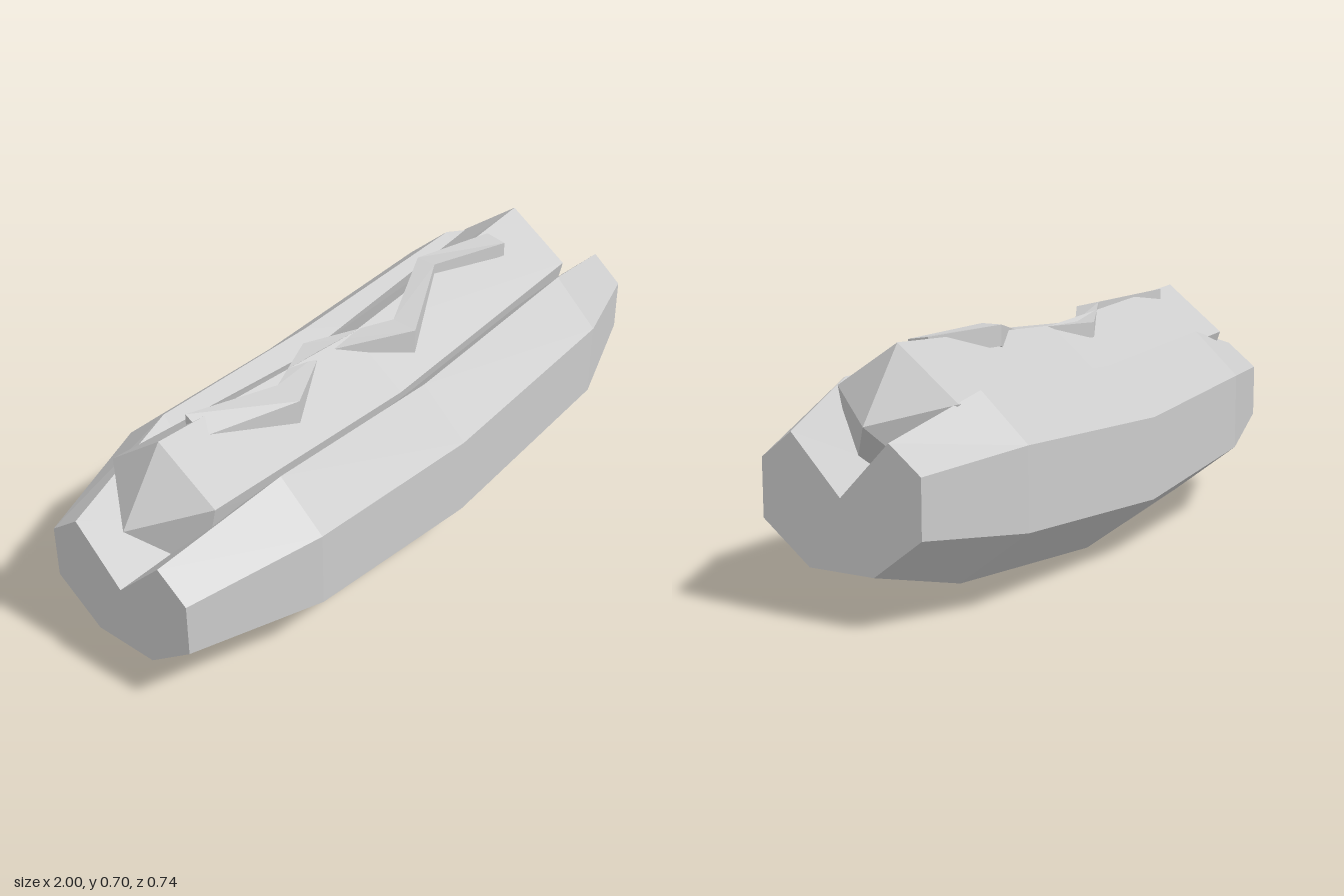
import * as THREE from 'three';

// Skins cross-sections along x. Each section is { x, ring: [[z, y], ...] },
// counter-clockwise as seen from +x; the end caps fan out from ring point 0.
function loft(name, sections) {
  const pos = [];
  const tri = (...pts) => pts.forEach((p) => pos.push(...p));
  const at = (s, j) => {
    const [z, y] = s.ring[j % s.ring.length];
    return [s.x, y, z];
  };
  const n = sections[0].ring.length;
  for (let i = 0; i < sections.length - 1; i++) {
    const s = sections[i], t = sections[i + 1];
    for (let j = 0; j < n; j++) {
      tri(at(s, j), at(s, j + 1), at(t, j + 1));
      tri(at(s, j), at(t, j + 1), at(t, j));
    }
  }
  const first = sections[0], last = sections[sections.length - 1];
  for (let j = 1; j < n - 1; j++) {
    tri(at(first, 0), at(first, j + 1), at(first, j));
    tri(at(last, 0), at(last, j), at(last, j + 1));
  }
  const geometry = new THREE.BufferGeometry();
  geometry.setAttribute('position', new THREE.Float32BufferAttribute(pos, 3));
  geometry.computeVertexNormals();
  const mesh = new THREE.Mesh(
    geometry,
    new THREE.MeshStandardMaterial({ color: 0xcccccc, flatShading: true })
  );
  mesh.name = name;
  return mesh;
}

// Symmetric bun section with a V-shaped slot in the top
function bunSection(x, half) {
  const mirrored = half.map(([z, y]) => [-z, y]).reverse();
  return { x, ring: [[0, 0.335], ...half, ...mirrored] };
}

function createBun() {
  const end = [[0.15, 0.49], [0.245, 0.415], [0.245, 0.255], [0.1, 0.143]];
  const shoulder = [[0.215, 0.58], [0.357, 0.45], [0.357, 0.22], [0.147, 0.057]];
  const middle = [[0.225, 0.552], [0.372, 0.415], [0.372, 0.173], [0.153, 0]];
  return loft('bun', [
    bunSection(-1, end),
    bunSection(-0.6, shoulder),
    bunSection(0, middle),
    bunSection(0.68, shoulder),
    bunSection(1, end),
  ]);
}

// Five-sided sausage with pointed ends, sagging in the middle
function createSausage() {
  const pentagon = [[-0.02, 0.7], [0.173, 0.573], [0.12, 0.342], [-0.13, 0.335], [-0.205, 0.555]];
  const sag = pentagon.map(([z, y]) => [z * 0.93 + 0.012, y - 0.05]);
  const tip = pentagon.map(() => [-0.012, 0.502]);
  return loft('sausage', [
    { x: -0.96, ring: tip },
    { x: -0.805, ring: pentagon },
    { x: -0.04, ring: sag },
    { x: 0.77, ring: pentagon },
    { x: 0.915, ring: tip },
  ]);
}

// Zigzag strip of sauce: x, back z, front z, back top y, front top y, bottom y
function createSauce() {
  const stops = [
    [-0.675, -0.05, 0.02, 0.7, 0.662, 0.62],
    [-0.4, 0.03, 0.108, 0.68, 0.662, 0.59],
    [-0.17, -0.08, -0.015, 0.65, 0.648, 0.605],
    [0.09, 0.04, 0.12, 0.65, 0.645, 0.56],
    [0.34, -0.068, -0.005, 0.7, 0.7, 0.64],
    [0.6, 0, 0.065, 0.692, 0.682, 0.638],
  ];
  return loft('sauce', stops.map(([x, back, front, backTop, frontTop, low]) => ({
    x,
    ring: [[back, backTop], [front, frontTop], [front, low], [back, low]],
  })));
}

export function createModel() {
  const model = new THREE.Group();
  model.name = 'hotDog';
  model.add(createBun(), createSausage(), createSauce());
  return model;
}
